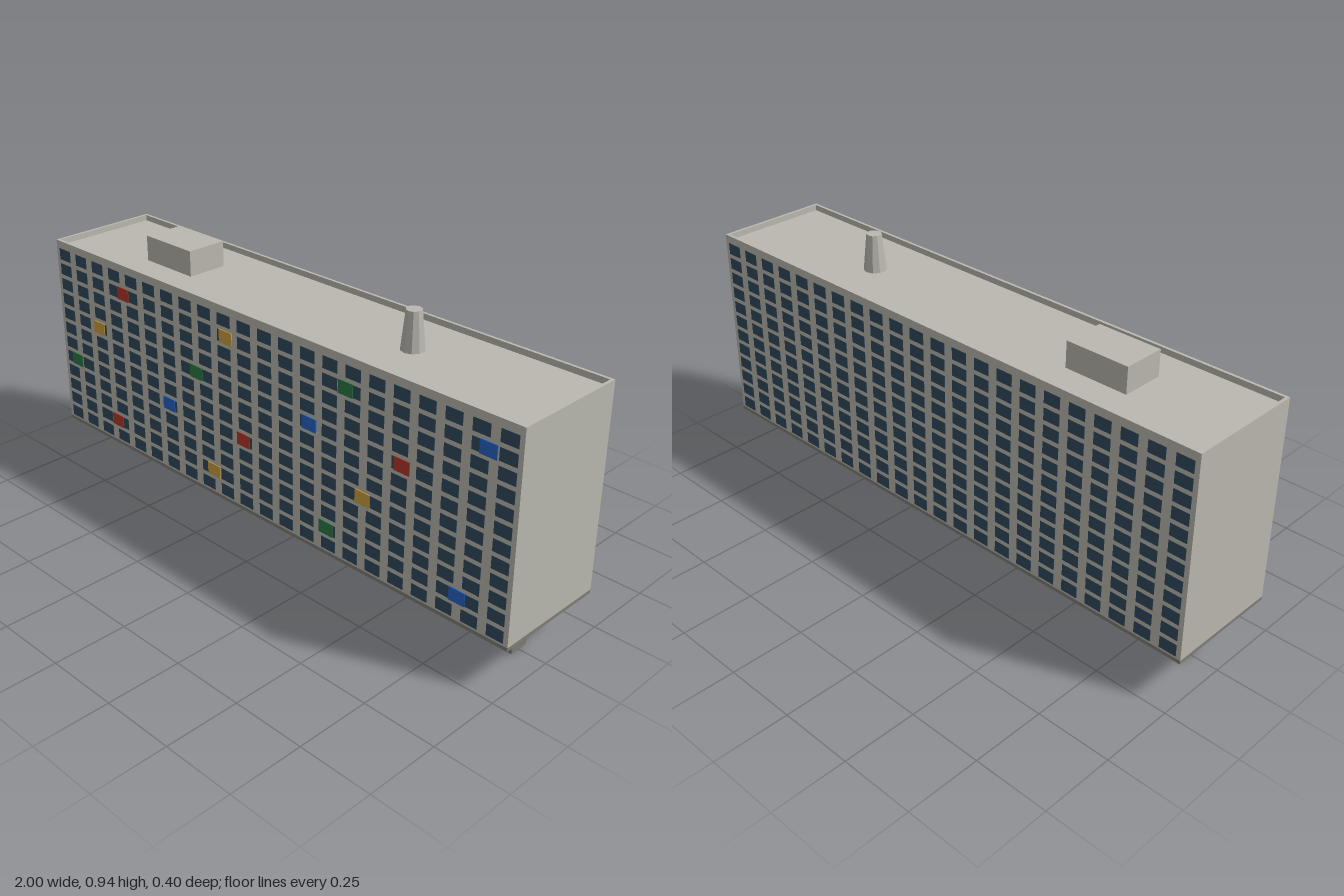
import * as THREE from 'three';
import { mergeGeometries } from 'three/addons/utils/BufferGeometryUtils.js';

const material = (name, color) => {
  const m = new THREE.MeshStandardMaterial({ color });
  m.name = name;
  return m;
};

// Box centred at (x, z) and spanning y0..y1
function block(w, y0, y1, d, x = 0, z = 0) {
  return new THREE.BoxGeometry(w, y1 - y0, d).translate(x, (y0 + y1) / 2, z);
}

// Flat-sided tapered prism spanning y0..y1
function taper(rTop, rBottom, y0, y1, sides) {
  return new THREE.CylinderGeometry(rTop, rBottom, y1 - y0, sides)
    .translate(0, (y0 + y1) / 2, 0).toNonIndexed();
}

export function createModel() {
  const model = new THREE.Group();
  const concrete = material('concrete', 0xbab8b0);
  const darkConcrete = material('dark concrete', 0x807e79);
  const glass = material('glass', 0x2f4a5c);
  const paints = {
    red: material('red paint', 0xb5382a),
    yellow: material('yellow paint', 0xd0a040),
    green: material('green paint', 0x2f7a48),
    blue: material('blue paint', 0x2864c8),
  };

  const add = (name, geometry, mat) => {
    const mesh = new THREE.Mesh(geometry, mat);
    mesh.name = name;
    model.add(mesh);
    return mesh;
  };

  const BASE = 0.16, ROOF = 0.82, TOP = 0.84, HALF_DEPTH = 0.2;
  const COLUMNS = 22, ROWS = 12;
  const floorHeight = (ROOF - BASE) / ROWS;
  const rowY = (row) => BASE + floorHeight * (row + 0.5);

  // Main slab and its underside
  add('building', block(2, BASE, ROOF, 0.4), concrete);
  add('baseSlab', block(2, 0.148, BASE, 0.4), darkConcrete);

  // Parapet around the roof
  const wall = 0.01;
  const parapet = [];
  for (const s of [-1, 1]) {
    parapet.push(block(2, ROOF, TOP, wall, 0, s * (HALF_DEPTH - wall / 2)));
    parapet.push(block(wall, ROOF, TOP, 0.4 - 2 * wall, s * (1 - wall / 2), 0));
  }
  add('parapet', mergeGeometries(parapet), concrete);

  // Window grid on front and back
  for (const [name, side] of [['frontWindows', 1], ['backWindows', -1]]) {
    const panes = [];
    for (let c = 0; c < COLUMNS; c++) {
      for (let r = 0; r < ROWS; r++) {
        const x = -1 + (c + 0.5) * (2 / COLUMNS);
        const y = rowY(r);
        panes.push(block(0.059, y - 0.02, y + 0.02, 0.002, x, side * HALF_DEPTH));
      }
    }
    add(name, mergeGeometries(panes), glass);
  }

  // Coloured balcony panels: floor row, then the paint at each step along the front
  const panelRows = [
    [10, { red: -9, yellow: -2, green: 5, blue: 12 }],
    [7, { yellow: -11, green: -4, blue: 3, red: 8 }],
    [4, { green: -13, blue: -6, red: -1, yellow: 6 }],
    [1, { red: -10, yellow: -3, green: 4, blue: 11 }],
  ];
  for (const [row, steps] of panelRows) {
    for (const [paint, step] of Object.entries(steps)) {
      const y = rowY(row);
      const x = (step + 0.25) * 0.0727;
      add(paint + 'Panel', block(0.058, y - 0.022, y + 0.022, 0.006, x, HALF_DEPTH), paints[paint]);
    }
  }

  // Tapered legs in a row under the slab
  const leg = taper(Math.SQRT1_2, Math.SQRT1_2 * 0.65, 0, 0.15, 4)
    .rotateY(Math.PI / 4).scale(0.042, 1, 0.107);
  leg.deleteAttribute('normal');
  leg.computeVertexNormals();
  for (let i = -4; i <= 4; i++) {
    add('leg', leg, darkConcrete).position.x = i * 0.2225;
  }

  // Rooftop hut and chimney
  add('roofHut', block(0.22, ROOF, 0.907, 0.144, -0.546), concrete);
  const chimney = taper(0.025, 0.038, ROOF, 0.945, 10);
  chimney.computeVertexNormals();
  add('chimney', chimney, concrete).position.x = 0.4545;

  return model;
}
